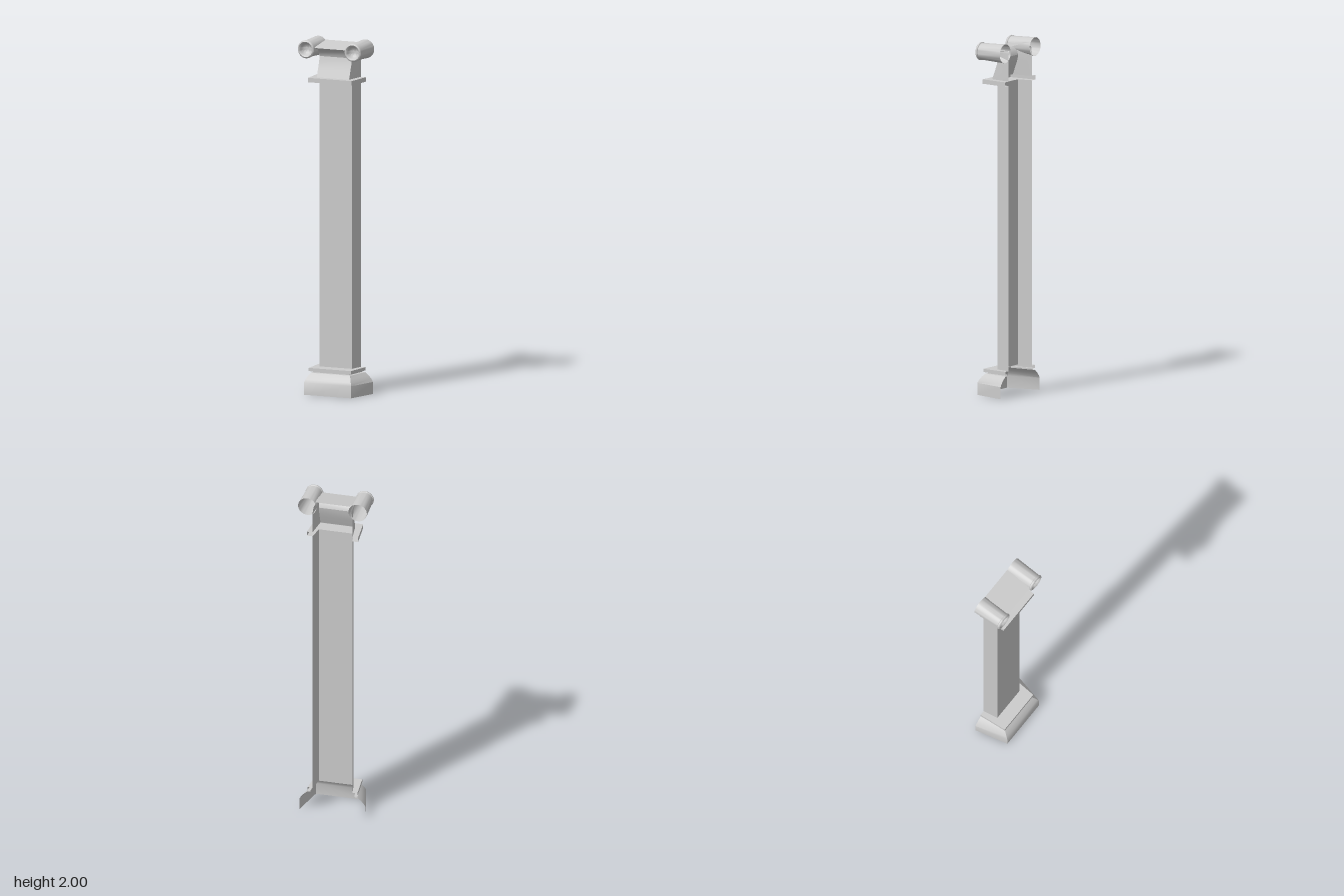
import * as THREE from 'three';
import { toCreasedNormals } from 'three/addons/utils/BufferGeometryUtils.js';

const BACK = -0.095;
const material = new THREE.MeshStandardMaterial({ color: 0xcccccc, side: THREE.DoubleSide });

// Three-sided shell, open at the back, lofted through rows of
// [height, half width at front, front z, half width at back].
function shell(name, rows) {
  const positions = [];
  const index = [];
  rows.forEach(([y, front, z, back], r) => {
    positions.push(-back, y, BACK, -front, y, z, front, y, z, back, y, BACK);
    if (r === 0) return;
    for (let i = 0; i < 3; i++) {
      const a = (r - 1) * 4 + i;
      const c = a + 4;
      index.push(a, a + 1, c + 1, a, c + 1, c);
    }
  });
  const geometry = new THREE.BufferGeometry();
  geometry.setAttribute('position', new THREE.Float32BufferAttribute(positions, 3));
  geometry.setIndex(index);
  const mesh = new THREE.Mesh(toCreasedNormals(geometry, 0.5), material);
  mesh.name = name;
  return mesh;
}

// Tapered scroll with an open back, rounded rim and dished front.
function volute(side) {
  const profile = [
    [0.053, BACK], [0.047, 0.06], [0.051, 0.063], [0.051, 0.069],
    [0.048, 0.074], [0.043, 0.076], [0.038, 0.073], [0.034, 0.066],
    [0.03, 0.055], [0.022, 0.047], [0.011, 0.042], [0, 0.04],
  ].map(([r, z]) => new THREE.Vector2(r, z));
  const geometry = toCreasedNormals(new THREE.LatheGeometry(profile, 32), 0.7);
  geometry.rotateX(Math.PI / 2);
  const mesh = new THREE.Mesh(geometry, material);
  mesh.name = side > 0 ? 'leftVolute' : 'rightVolute';
  mesh.position.set(side * 0.145, 1.946, 0);
  return mesh;
}

export function createModel() {
  const model = new THREE.Group();
  model.name = 'pilaster';

  // Plinth with a rounded shoulder
  model.add(shell('base', [
    [0, 0.145, 0.095, 0.19],
    [0.068, 0.145, 0.095, 0.19],
    [0.085, 0.14, 0.086, 0.18],
    [0.103, 0.132, 0.074, 0.164],
    [0.12, 0.121, 0.057, 0.143],
  ]));

  // Recessed band and slab below the shaft
  model.add(shell('baseMoulding', [
    [0.12, 0.121, 0.057, 0.143],
    [0.122, 0.112, 0.045, 0.126],
    [0.13, 0.112, 0.045, 0.126],
    [0.13, 0.13, 0.065, 0.143],
    [0.148, 0.13, 0.065, 0.143],
    [0.148, 0.1, -0.01, 0.115],
  ]));

  model.add(shell('shaft', [
    [0.148, 0.1, -0.01, 0.115],
    [1.76, 0.1, -0.01, 0.115],
  ]));

  // Slab above the shaft
  model.add(shell('capitalMoulding', [
    [1.76, 0.1, -0.01, 0.115],
    [1.76, 0.135, 0.065, 0.147],
    [1.785, 0.135, 0.065, 0.147],
    [1.785, 0.1, 0.025, 0.115],
  ]));

  // Neck leaning back, then sweeping forward under the bridge
  model.add(shell('neck', [
    [1.785, 0.1, 0.025, 0.115],
    [1.83, 0.1, 0.008, 0.115],
    [1.87, 0.1, -0.006, 0.115],
    [1.9, 0.1, -0.012, 0.115],
    [1.922, 0.1, -0.004, 0.113],
    [1.94, 0.102, 0.016, 0.11],
    [1.952, 0.105, 0.043, 0.107],
    [1.956, 0.106, 0.065, 0.104],
  ]));

  // Sheet spanning between the two scrolls
  const bridge = new THREE.PlaneGeometry(2, 1);
  const p = bridge.attributes.position;
  for (let i = 0; i < p.count; i++) {
    const atBack = p.getY(i) > 0;
    p.setXYZ(i, p.getX(i) * (atBack ? 0.1 : 0.106), atBack ? 1.98 : 1.956, atBack ? BACK : 0.065);
  }
  bridge.computeVertexNormals();
  const bridgeMesh = new THREE.Mesh(bridge, material);
  bridgeMesh.name = 'bridge';
  model.add(bridgeMesh);

  for (const side of [-1, 1]) model.add(volute(side));
  return model;
}
